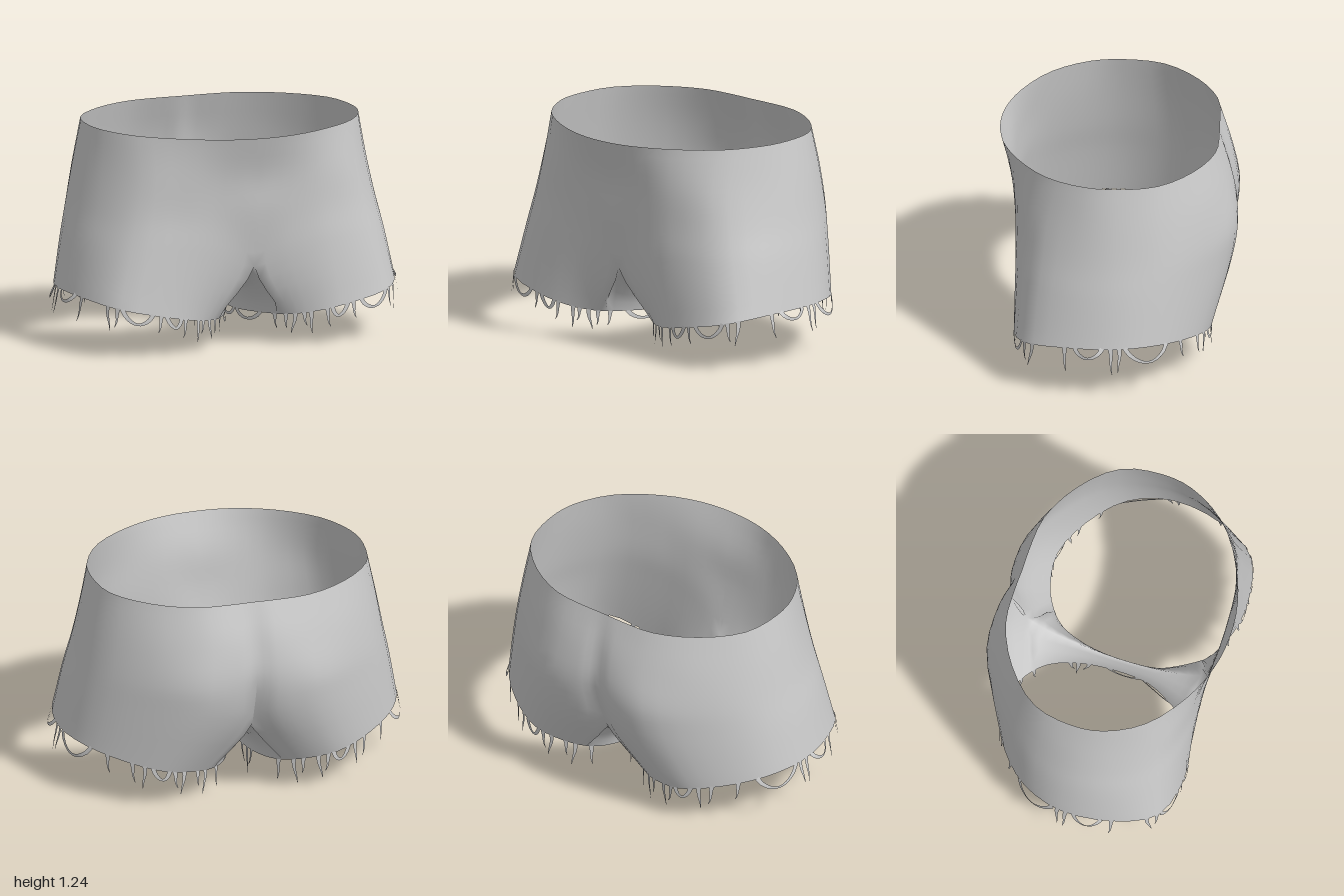
import * as THREE from 'three';
import { mergeVertices } from 'three/addons/utils/BufferGeometryUtils.js';

const V = (x, y, z) => new THREE.Vector3(x, y, z);
const SUB = 3;   // columns between neighbouring control points
const ROWS = 4;  // rows between neighbouring levels

// Half outlines [x, z, drop] from front centre round the left hip to back centre
const levels = [
  { y: 1.235, p: [[0, .665, .012], [.2, .642, .01], [.42, .555, .006], [.64, .39, .003], [.76, .18], [.785, 0], [.74, -.23], [.56, -.425], [.33, -.54], [.11, -.557], [0, -.555]] },
  { y: 1.0, p: [[0, .603], [.2, .595], [.42, .56], [.64, .45], [.79, .22], [.835, 0], [.78, -.25], [.57, -.485], [.32, -.61], [.11, -.632], [0, -.612]] },
  { y: .78, p: [[0, .583], [.2, .575], [.42, .56], [.68, .47], [.83, .25], [.88, 0], [.81, -.27], [.6, -.5], [.34, -.65], [.12, -.66], [0, -.632]] },
  { y: .6, p: [[0, .53, .13], [.2, .56, .06], [.44, .568], [.72, .49], [.87, .28], [.92, 0], [.84, -.265], [.62, -.49], [.36, -.63], [.13, -.62, .05], [0, -.53, .13]] },
];

// Centre seam under the crotch, from back to front
const seam = [V(0, .47, -.53), V(0, .38, -.42), V(0, .315, -.22), V(0, .285, 0), V(0, .315, .24), V(0, .385, .42), V(0, .47, .53)];

// Closed hem of the left leg: front, outside, back, inner thigh
const hemPoints = [
  V(.2, .172, .46), V(.32, .185, .53), V(.5, .22, .577), V(.8, .28, .52), V(.93, .315, .3), V(.97, .325, 0),
  V(.89, .315, -.24), V(.71, .275, -.42), V(.5, .23, -.52), V(.32, .2, -.5), V(.2, .178, -.44),
  V(.12, .172, -.36), V(.055, .165, -.2), V(.03, .16, 0), V(.045, .163, .2), V(.13, .168, .37),
];
const hem = new THREE.CatmullRomCurve3(hemPoints, true);
const hemAt = (i) => hem.getPoint((((i / 16) % 1) + 1) % 1);

function levelCurve({ y, p }) {
  const half = p.map(([x, z, drop = 0]) => V(x, y - drop, z));
  const mirrored = half.slice(1, -1).reverse().map((q) => V(-q.x, q.y, q.z));
  return new THREE.CatmullRomCurve3([...half, ...mirrored], true);
}

// Grid of columns -> triangles, for the left or mirrored right half
function addGrid(cols, side, pos) {
  for (let c = 0; c + 1 < cols.length; c++) {
    for (let r = 0; r + 1 < cols[c].length; r++) {
      const a = cols[c][r], b = cols[c][r + 1], d = cols[c + 1][r], e = cols[c + 1][r + 1];
      const tris = side > 0 ? [a, b, d, d, b, e] : [a, d, b, d, e, b];
      for (const q of tris) pos.push(q.x * side, q.y, q.z);
    }
  }
}

function toGeometry(pos) {
  let g = new THREE.BufferGeometry();
  g.setAttribute('position', new THREE.Float32BufferAttribute(pos, 3));
  g = mergeVertices(g, 1e-4);
  g.computeVertexNormals();
  return g;
}

function shortsGeometry() {
  const rings = levels.map(levelCurve);
  const outer = [], inner = [];
  // Columns from waist to hem
  for (let k = 0; k <= 10 * SUB; k++) {
    const pts = rings.map((r) => r.getPoint(k / (20 * SUB)));
    if (k % (10 * SUB) === 0) pts.forEach((q) => { q.x = 0; });
    pts.push(hemAt(k / SUB));
    const col = new THREE.CatmullRomCurve3(pts);
    outer.push(Array.from({ length: 4 * ROWS + 1 }, (_, r) => col.getPoint(r / (4 * ROWS))));
  }
  // Columns from the centre seam down the inner thigh, rounded at the top
  const seamCurve = new THREE.CatmullRomCurve3(seam);
  for (let k = 0; k <= 6 * SUB; k++) {
    const a = seamCurve.getPoint(k / (6 * SUB)), b = hemAt(10 + k / SUB);
    inner.push(Array.from({ length: ROWS + 1 }, (_, r) => {
      const q = a.clone().lerp(b, r / ROWS);
      q.x = b.x * Math.sin(Math.PI / 2 * r / ROWS);
      return q;
    }));
  }
  // Inner panel shares its end columns with the outer panel
  inner[0] = outer[10 * SUB].slice(3 * ROWS);
  inner[6 * SUB] = outer[0].slice(3 * ROWS);
  const pos = [];
  for (const side of [1, -1]) {
    addGrid(outer, side, pos);
    addGrid(inner, side, pos);
  }
  return toGeometry(pos);
}

// Flat ribbon along a path, lying in the cloth's plane
function addRibbon(path, width, normal, side, pos) {
  const n = path.length - 1;
  const cols = path.map((p, i) => {
    const dir = path[Math.min(n, i + 1)].clone().sub(path[Math.max(0, i - 1)]);
    const across = dir.cross(normal).normalize().multiplyScalar(width(i / n) / 2);
    return [p.clone().add(across), p.clone().sub(across)];
  });
  addGrid(cols, side, pos);
}

function outward(i) {
  const t = hemAt(i + .05).sub(hemAt(i - .05)).setY(0).normalize();
  return V(-t.z, 0, t.x);
}
// Threads flare out on the hips and hang straight elsewhere
const flare = (n) => .03 * Math.max(0, n.x) ** 4;

// Hanging threads: [place on hem, length, sideways lean]
const threads = [
  [.1, .08, .01], [.5, .11, -.02], [.85, .07, .02], [1.1, .12, .01], [1.6, .1, .02],
  [2.25, .09, .02], [3.05, .1, .02], [3.3, .13, -.02], [4.05, .13, .02],
  [4.9, .14, .01], [5.08, .13, -.01], [6.6, .1, .02], [7.2, .11, .02], [7.5, .13, -.01],
  [8.3, .1, .02], [8.6, .13, -.02], [9.1, .09, .01], [9.5, .14, -.02], [10.2, .12, .01],
  [11.7, .1, .03], [11.95, .166, -.01], [12.25, .1, -.03], [15.5, .08, .02],
];
// Hanging loops: [start, end, drop]
const loops = [[1.75, 2.15, .06], [2.4, 2.95, .07], [4.25, 4.75, .05], [5.2, 6.2, .09], [7.7, 8.15, .06], [12.8, 13.7, .05], [13.8, 14.8, .05]];

function frayGeometry(side) {
  const pos = [];
  for (const [i, len, lean] of threads) {
    const base = hemAt(i), n = outward(i), t = V(n.z, 0, -n.x);
    const path = Array.from({ length: 6 }, (_, k) => {
      const s = k / 5;
      return base.clone().addScaledVector(t, lean * s * s + .003 * Math.sin(s * 6))
        .addScaledVector(n, flare(n) * s).add(V(0, .008 * (1 - s) - len * s, 0));
    });
    addRibbon(path, (s) => .024 * (1 - s) + .003, n, side, pos);
  }
  for (const [a, b, drop] of loops) {
    const n = outward((a + b) / 2);
    const path = Array.from({ length: 11 }, (_, k) => {
      const s = k / 10, sag = Math.pow(Math.sin(Math.PI * s), .7);
      return hemAt(a + (b - a) * s).addScaledVector(n, flare(n) * sag).add(V(0, .006 - drop * sag, 0));
    });
    addRibbon(path, (s) => .014 + .012 * Math.abs(1 - 2 * s), n, side, pos);
  }
  return toGeometry(pos);
}

export function createModel() {
  const group = new THREE.Group();
  group.name = 'cutoffShorts';
  const material = new THREE.MeshStandardMaterial({ color: 0xcccccc, side: THREE.DoubleSide });
  const add = (name, geometry) => {
    const mesh = new THREE.Mesh(geometry, material);
    mesh.name = name;
    group.add(mesh);
  };
  add('shorts', shortsGeometry());
  add('leftHemFray', frayGeometry(1));
  add('rightHemFray', frayGeometry(-1));
  return group;
}
